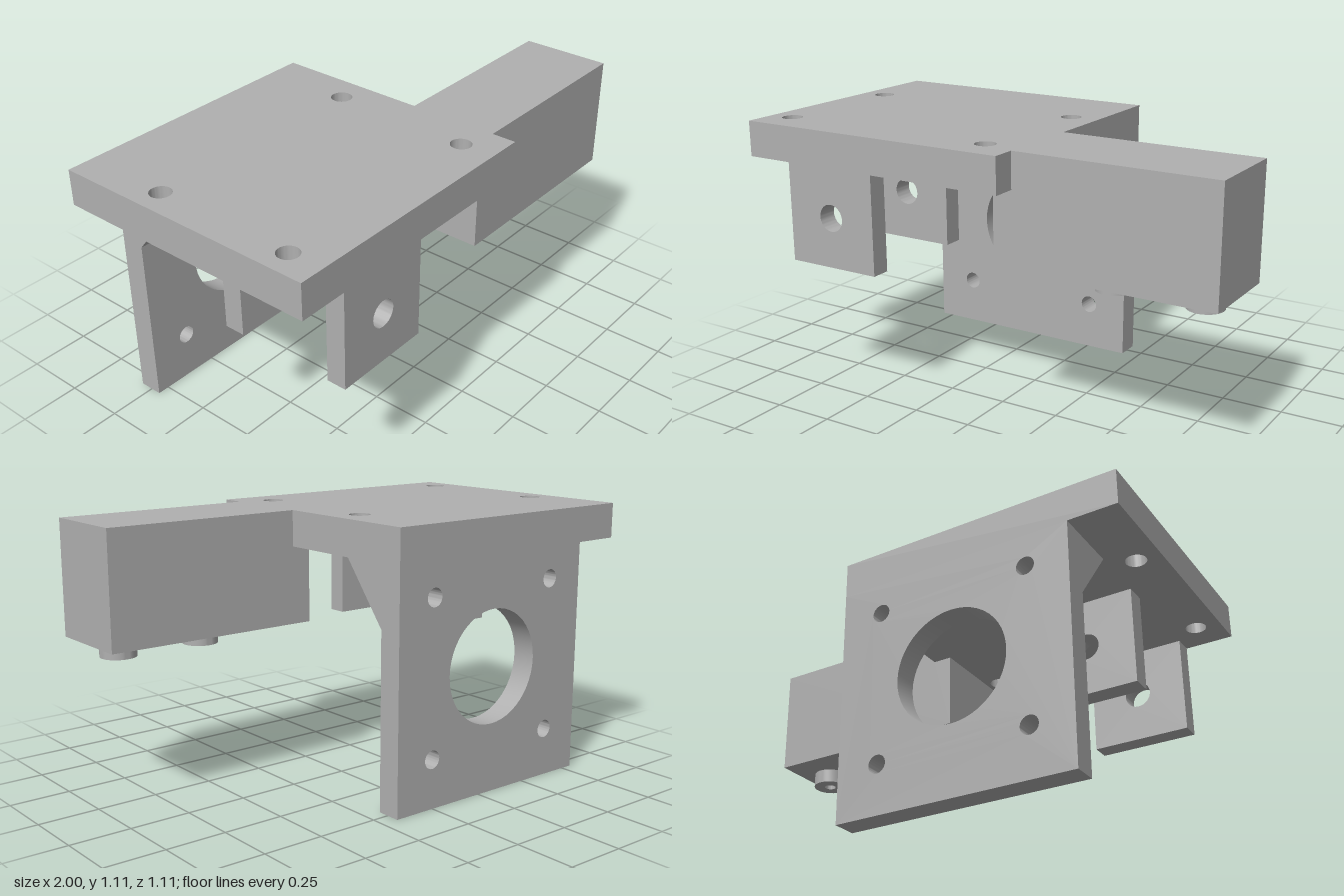
import * as THREE from 'three';
import { toCreasedNormals } from 'three/addons/utils/BufferGeometryUtils.js';

const metal = new THREE.MeshStandardMaterial({ color: 0xb0b0b0 });
metal.name = 'grey metal';

// Closed outline with round holes given as [x, y, radius]
function outline(points, holes = []) {
  const shape = new THREE.Shape(points.map(([x, y]) => new THREE.Vector2(x, y)));
  for (const [x, y, r] of holes) {
    shape.holes.push(new THREE.Path().absarc(x, y, r, 0, Math.PI * 2, true));
  }
  return shape;
}

const rect = (x0, y0, x1, y1) => [[x0, y0], [x1, y0], [x1, y1], [x0, y1]];

// Extrude along z between z0 and z1
function slab(shape, z0, z1) {
  const g = new THREE.ExtrudeGeometry(shape, { depth: z1 - z0, bevelEnabled: false, curveSegments: 24 });
  return g.translate(0, 0, z0);
}

export function createModel() {
  const model = new THREE.Group();
  model.name = 'motorBracket';
  const add = (name, geometry) => {
    const mesh = new THREE.Mesh(toCreasedNormals(geometry, 0.6), metal);
    mesh.name = name;
    model.add(mesh);
    return mesh;
  };

  // Top plate, drawn as x / -z and laid flat
  const topHoles = [[-0.9, 0.185, 0.042], [0.06, 0.185, 0.042], [-0.9, -0.41, 0.042], [0.04, -0.41, 0.042]];
  add('topPlate', slab(outline(rect(-1, -0.555, 0.18, 0.555), topHoles), 0.96, 1.105).rotateX(-Math.PI / 2));

  // Motor plate with a large bore and four screw holes
  const cx = -0.31, screw = 0.315, screwR = 0.037;
  const motorHoles = [[cx, 0.515, 0.232]];
  for (const sx of [-1, 1]) for (const sy of [-1, 1]) motorHoles.push([cx + sx * screw, 0.515 + sy * screw, screwR]);
  add('motorPlate', slab(outline(rect(-0.8, 0, 0.18, 0.96), motorHoles), -0.555, -0.455));

  // Two sloping gussets, each notched by an upper screw hole
  for (const side of [-1, 1]) {
    const inner = cx + side * 0.33, outer = cx + side * 0.49;
    const hx = cx + side * screw, hy = 0.83;
    const a = Math.acos((inner - hx) * side / screwR);
    const points = [[outer, 0.715], [outer, 0.96], [inner, 0.96]];
    for (let i = 0; i <= 12; i++) {
      const t = a - (2 * a * i) / 12;
      points.push([hx + side * screwR * Math.cos(t), hy + screwR * Math.sin(t)]);
    }
    points.push([inner, 0.715]);
    const g = slab(outline(points), -0.455, 0.545);
    const p = g.attributes.position;
    for (let i = 0; i < p.count; i++) {
      if (p.getZ(i) > 0) p.setZ(i, -0.455 + (p.getY(i) - 0.715) / 0.245 * 0.195);
    }
    add(side < 0 ? 'rightGusset' : 'leftGusset', g);
  }

  // Pair of hinge lugs
  const lug = outline(rect(-0.8, 0.555, -0.39, 0.96), [[-0.595, 0.76, 0.055]]);
  add('frontLug', slab(lug, 0.475, 0.555));
  add('rearLug', slab(lug, -0.015, 0.07));

  // Side arm, stepped to fit under the top plate
  add('arm', slab(outline([[0.1, 0.645], [1, 0.645], [1, 1.105], [0.18, 1.105], [0.18, 0.96], [0.1, 0.96]]), 0.085, 0.455));

  // Hollow bosses under the arm
  for (const x of [0.51, 0.875]) {
    const ring = new THREE.Shape().absarc(0, 0, 0.072, 0, Math.PI * 2, false);
    ring.holes.push(new THREE.Path().absarc(0, 0, 0.025, 0, Math.PI * 2, true));
    add('boss', slab(ring, 0, 0.06).rotateX(-Math.PI / 2)).position.set(x, 0.585, 0.27);
  }
  return model;
}
